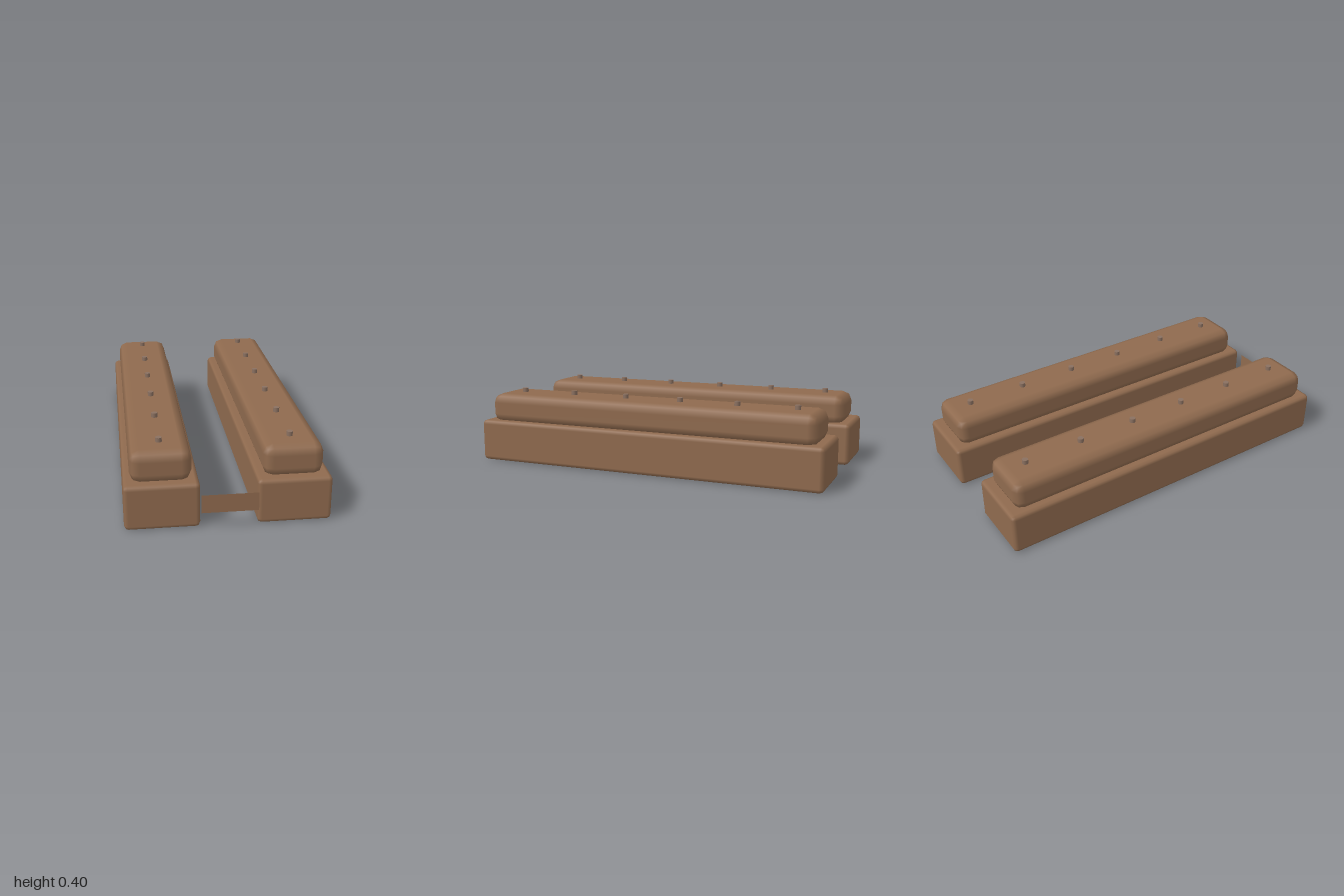
import * as THREE from 'three';
import { RoundedBoxGeometry } from 'three/addons/geometries/RoundedBoxGeometry.js';

export function createModel() {
  const model = new THREE.Group();
  model.name = 'twinBench';

  const brown = new THREE.MeshStandardMaterial({ color: 0x8f6a4e });
  brown.name = 'brown';
  const studBrown = new THREE.MeshStandardMaterial({ color: 0x8a7060 });
  studBrown.name = 'greyBrown';
  const plateBrown = new THREE.MeshStandardMaterial({ color: 0x8f6a4e, side: THREE.DoubleSide });
  plateBrown.name = 'brownPlate';

  function add(parent, name, geometry, material, x, y, z) {
    const mesh = new THREE.Mesh(geometry, material);
    mesh.name = name;
    mesh.position.set(x, y, z);
    parent.add(mesh);
  }

  const baseGeometry = new RoundedBoxGeometry(0.365, 0.23, 1.97, 1, 0.022);
  const cushionGeometry = new RoundedBoxGeometry(0.298, 0.164, 1.88, 1, 0.05);
  const studGeometry = new THREE.CylinderGeometry(0.016, 0.016, 0.03, 12);

  // Two mirrored benches, each a base, a cushion and a row of studs
  for (const side of [1, -1]) {
    const bench = new THREE.Group();
    bench.name = side > 0 ? 'leftBench' : 'rightBench';
    bench.position.x = side * 0.3205;
    add(bench, 'base', baseGeometry, brown, 0, 0.115, -0.015);
    add(bench, 'cushion', cushionGeometry, brown, 0, 0.297, -0.015);
    for (let i = 0; i < 6; i++) {
      add(bench, 'stud', studGeometry, studBrown, 0, 0.387, -0.82 + i * 0.3215);
    }
    model.add(bench);
  }

  // Thin plate bridging the gap at the front
  add(model, 'frontPlate', new THREE.PlaneGeometry(0.276, 0.093), plateBrown, 0, 0.138, 0.999);
  return model;
}
